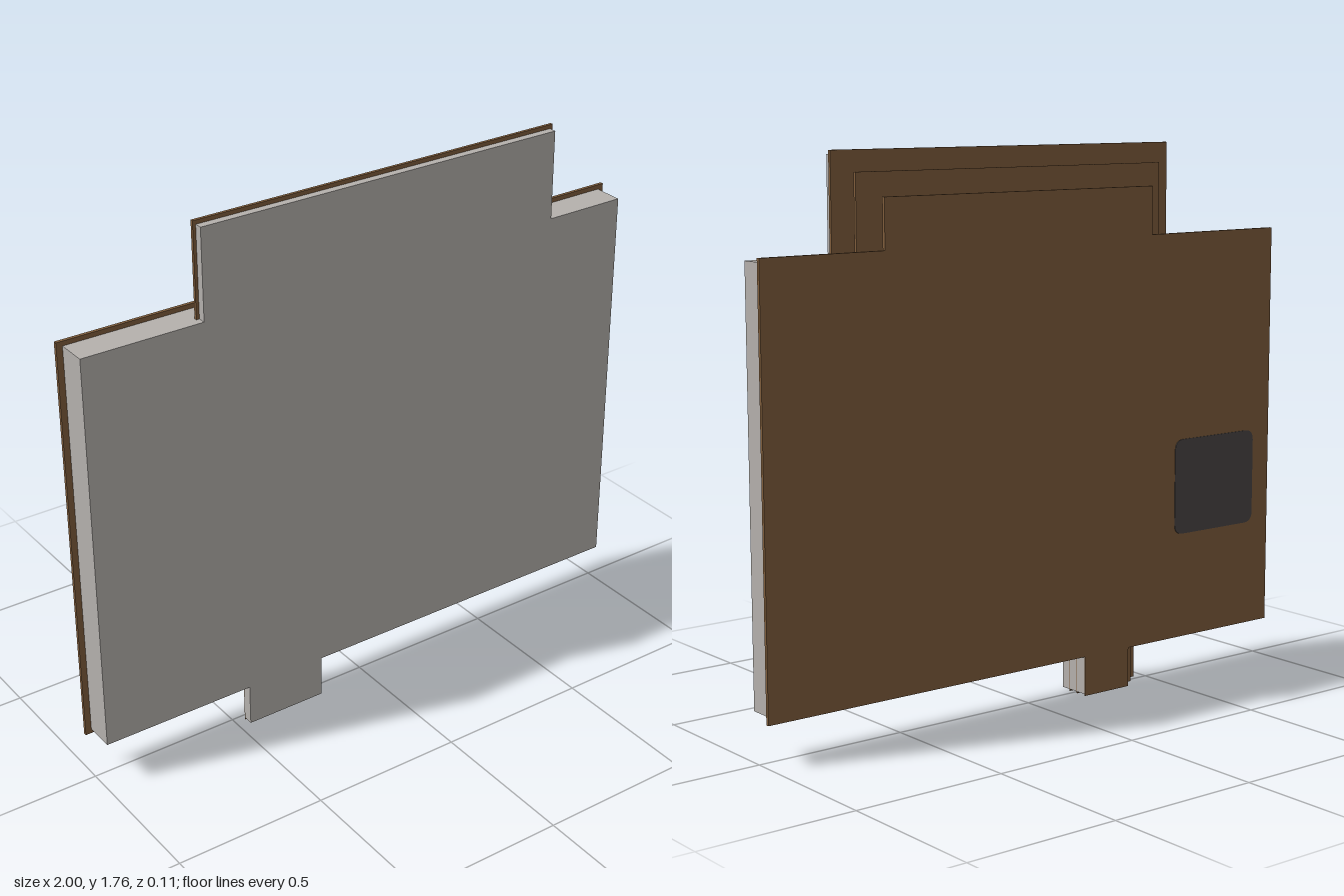
import * as THREE from 'three';

export function createModel() {
  const model = new THREE.Group();
  const grey = new THREE.MeshStandardMaterial({ color: 0xb5b1ad });
  grey.name = 'stone grey';
  const brown = new THREE.MeshStandardMaterial({ color: 0x7f5d3c });
  brown.name = 'brown backing';
  const dark = new THREE.MeshStandardMaterial({ color: 0x4a4545 });
  dark.name = 'dark patch';

  // Box given by its limits on each axis
  const box = (name, mat, [x0, x1], [y0, y1], [z0, z1]) => {
    const mesh = new THREE.Mesh(new THREE.BoxGeometry(x1 - x0, y1 - y0, z1 - z0), mat);
    mesh.position.set((x0 + x1) / 2, (y0 + y1) / 2, (z0 + z1) / 2);
    mesh.name = name;
    model.add(mesh);
  };
  const extrude = (name, mat, shape, z, depth) => {
    const geo = new THREE.ExtrudeGeometry(shape, { depth, bevelEnabled: false, curveSegments: 6 });
    const mesh = new THREE.Mesh(geo, mat);
    mesh.position.z = z;
    mesh.name = name;
    model.add(mesh);
  };

  // Main slab
  box('slab', grey, [-0.98, 0.98], [0.145, 1.46], [-0.044, 0.055]);

  // Stepped risers on top and stepped tabs below, from front to back
  const layers = [
    { front: 0.055, seam: 0.03, back: 0.02, x: [-0.58, 0.7], px: [-0.59, 0.71], top: 1.752, ptop: 1.765, tab: -0.465 },
    { front: 0.02, seam: -0.006, back: -0.016, x: [-0.51, 0.63], px: [-0.525, 0.648], top: 1.68, ptop: 1.702, tab: -0.42 },
    { front: -0.016, seam: -0.044, back: -0.055, x: [-0.435, 0.555], px: [-0.465, 0.575], top: 1.61, ptop: 1.63, tab: -0.375 },
  ];
  layers.forEach((l, i) => {
    box('riser', grey, l.x, [1.46, l.top], [l.seam, l.front]);
    if (i < 2) box('riserBacking', brown, l.px, [1.46, l.ptop], [l.back, l.seam]);
    box('tab', grey, [l.tab, -0.19], [0.006, 0.145], [l.back + 0.003, l.front]);
    box('tabBacking', brown, [l.tab, -0.19], [0, 0.145], [l.back, l.back + 0.003]);
  });

  // Back panel with shoulders
  const { px, ptop } = layers[2];
  const panel = new THREE.Shape([
    [-1, 0.13], [1, 0.13], [1, 1.475], [px[1], 1.475],
    [px[1], ptop], [px[0], ptop], [px[0], 1.475], [-1, 1.475],
  ].map(([x, y]) => new THREE.Vector2(x, y)));
  extrude('backPanel', brown, panel, -0.055, 0.011);

  // Rounded patch on the back
  const [a, b, c, d, r] = [-0.927, -0.573, 0.48, 0.797, 0.035];
  const patch = new THREE.Shape();
  patch.moveTo(a + r, c);
  patch.lineTo(b - r, c).quadraticCurveTo(b, c, b, c + r);
  patch.lineTo(b, d - r).quadraticCurveTo(b, d, b - r, d);
  patch.lineTo(a + r, d).quadraticCurveTo(a, d, a, d - r);
  patch.lineTo(a, c + r).quadraticCurveTo(a, c, a + r, c);
  extrude('backPatch', dark, patch, -0.057, 0.002);

  return model;
}
